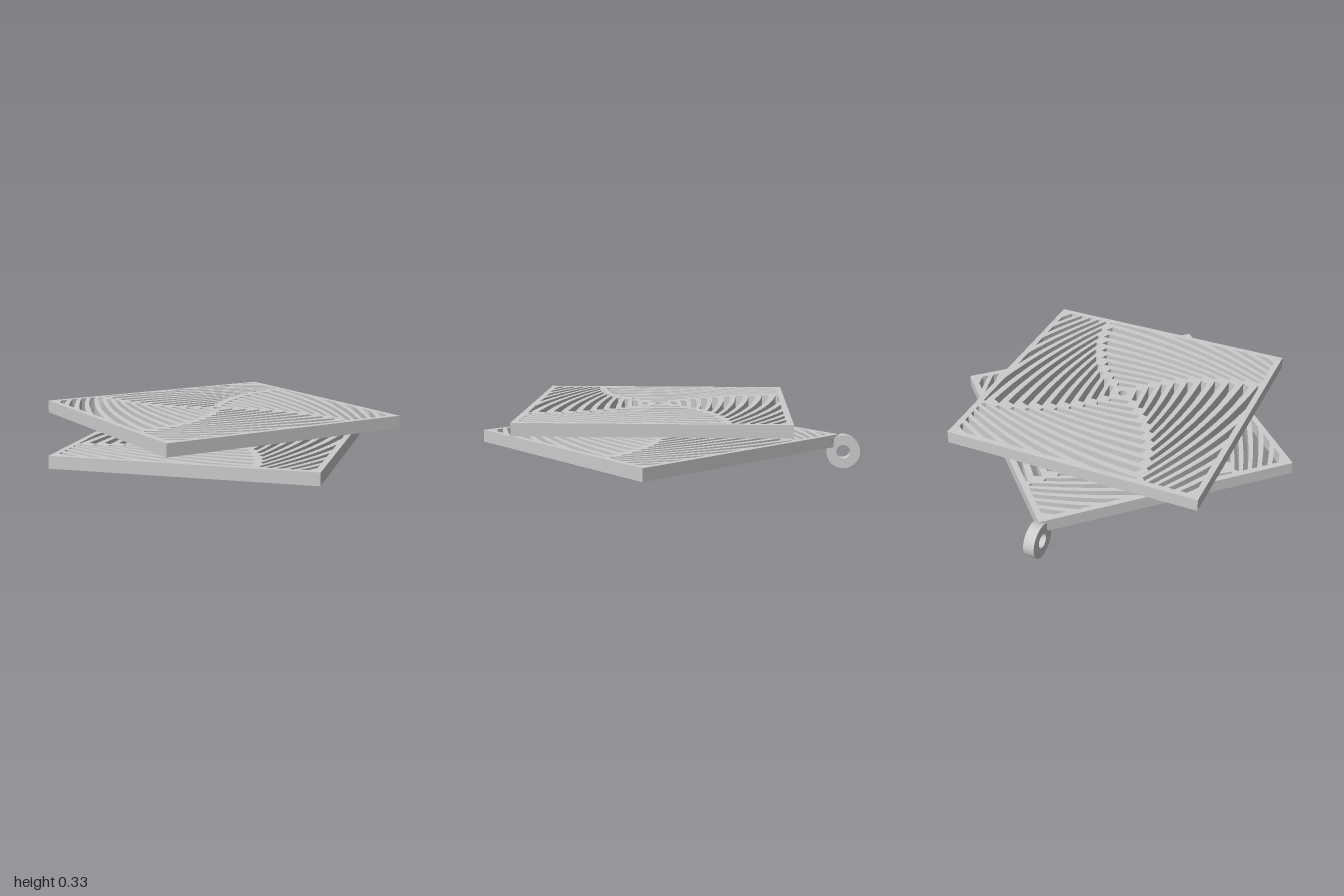
import * as THREE from 'three';

const HALF = 0.665, INNER = 0.635, THICK = 0.064, CZ = 0.05;
const material = new THREE.MeshStandardMaterial({ color: 0xcccccc });

// Point on one side of a nested square that twists and bulges as it grows.
function whirlPoint(a, along, quarter) {
  const u = along / a;
  const x = a + 0.18 * a * a * (1 - u * u);
  const t = 0.9 * a - 0.2 + quarter * Math.PI / 2;
  return new THREE.Vector2(x * Math.cos(t) - along * Math.sin(t), x * Math.sin(t) + along * Math.cos(t));
}

// Keep the part of a polygon inside the square frame.
function clipToFrame(points) {
  for (const axis of ['x', 'y']) for (const sign of [1, -1]) {
    const out = [];
    points.forEach((p, i) => {
      const q = points[(i + 1) % points.length];
      const dp = INNER - sign * p[axis], dq = INNER - sign * q[axis];
      if (dp >= 0) out.push(p);
      if (dp * dq < 0) out.push(p.clone().lerp(q, dp / (dp - dq)));
    });
    points = out;
  }
  return points;
}

// Square plate pierced by a whirl of slots in four-fold symmetry.
function plateGeometry() {
  const shape = new THREE.Shape([[-1, -1], [1, -1], [1, 1], [-1, 1]]
    .map(([x, y]) => new THREE.Vector2(x * HALF, y * HALF)));
  shape.holes.push(new THREE.Path().absarc(0, 0, 0.023, 0, Math.PI * 2, true));
  const steps = 16, width = 0.027;
  for (let a = 0.075; a < 0.93; a += 0.05) {
    for (let quarter = 0; quarter < 4; quarter++) {
      const outer = [], inner = [];
      const reach = a - 0.026;
      for (let i = 0; i <= steps; i++) {
        const along = reach * (2 * i / steps - 1);
        outer.push(whirlPoint(a + width / 2, along, quarter));
        inner.push(whirlPoint(a - width / 2, along, quarter));
      }
      const slot = clipToFrame([...outer, ...inner.reverse()]);
      if (slot.length > 2 && Math.abs(THREE.ShapeUtils.area(slot)) > 0.0004) {
        shape.holes.push(new THREE.Path(slot));
      }
    }
  }
  const g = new THREE.ExtrudeGeometry(shape, { depth: THICK, bevelEnabled: false, curveSegments: 20 });
  return g.rotateX(Math.PI / 2);
}

// Flat-sided ring around the y axis, centred on its own origin.
function ringGeometry(inner, outer, height) {
  const shape = new THREE.Shape().absarc(0, 0, outer, 0, Math.PI * 2, false);
  shape.holes.push(new THREE.Path().absarc(0, 0, inner, 0, Math.PI * 2, true));
  const g = new THREE.ExtrudeGeometry(shape, { depth: height, bevelEnabled: false, curveSegments: 48 });
  return g.translate(0, 0, -height / 2).rotateX(Math.PI / 2);
}

export function createModel() {
  const group = new THREE.Group();
  const add = (name, geometry, x, y, z) => {
    const mesh = new THREE.Mesh(geometry, material);
    mesh.name = name;
    mesh.position.set(x, y, z);
    group.add(mesh);
    return mesh;
  };
  const plate = plateGeometry();

  // Lower plate stands on its corner, upper plate is nearly square to the axes
  add('lowerPlate', plate, 0, 0.175, CZ).rotation.y = Math.PI / 4;
  add('upperPlate', plate, 0, 0.329, CZ).rotation.y = 0.023;

  // Spacer on the lower plate
  add('hub', ringGeometry(0.023, 0.125, 0.075), 0, 0.2125, CZ + 0.005);

  // Hanging loop at the back corner
  add('hangingLoop', ringGeometry(0.036, 0.087, 0.056), 0, 0.087, -0.913).rotation.z = Math.PI / 2;
  return group;
}
